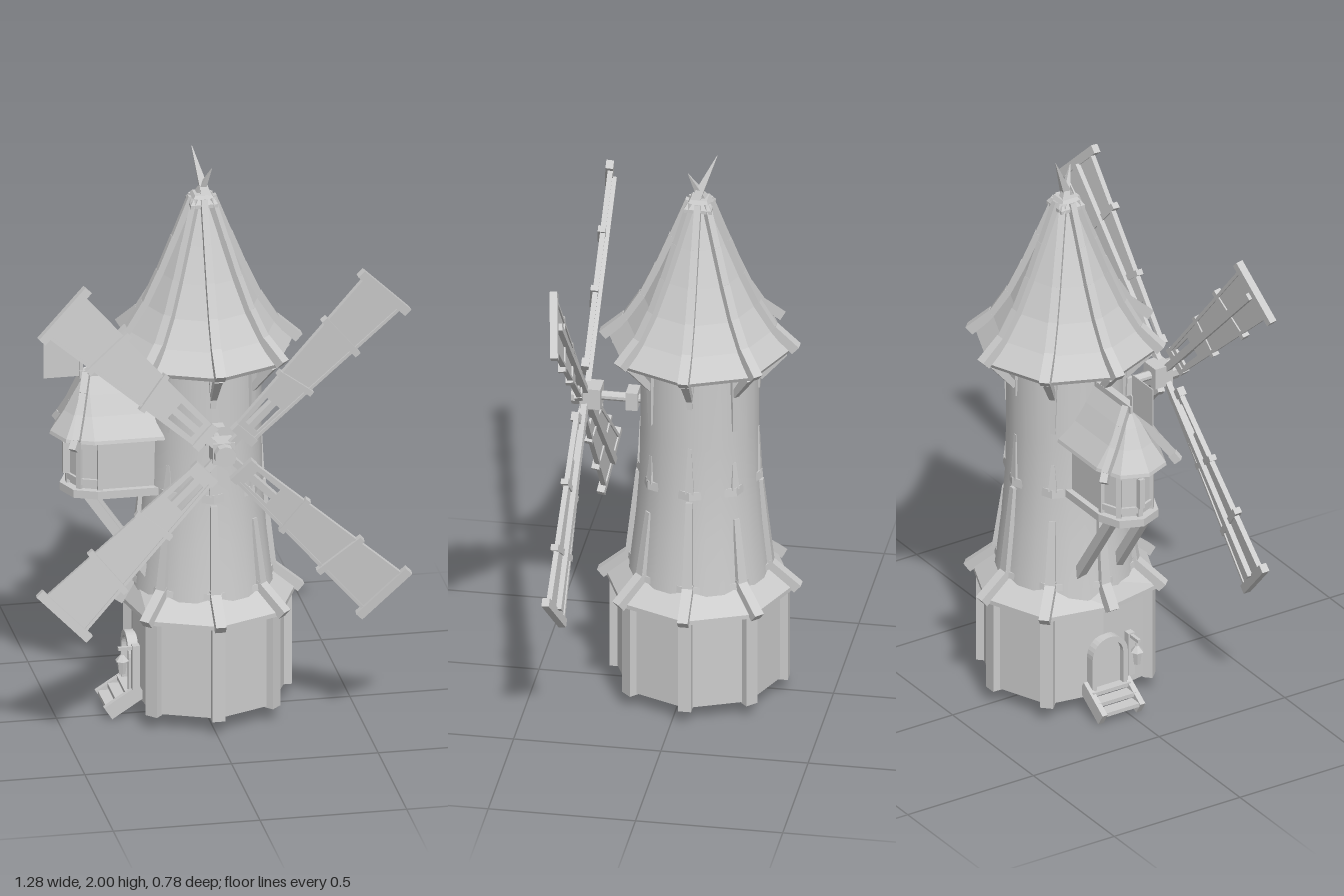
import * as THREE from 'three';

const flat = new THREE.MeshStandardMaterial({ color: 0xcccccc, flatShading: true, side: THREE.DoubleSide });
const smooth = new THREE.MeshStandardMaterial({ color: 0xcccccc, side: THREE.DoubleSide });
const V = (x, y, z) => new THREE.Vector3(x, y, z);
const polar = (a, r, y) => V(r * Math.sin(a), y, r * Math.cos(a));

function add(parent, name, geo, mat = flat) {
  const m = new THREE.Mesh(geo, mat);
  m.name = name;
  parent.add(m);
  return m;
}

function box(parent, name, w, h, d, x, y, z) {
  const m = add(parent, name, new THREE.BoxGeometry(w, h, d));
  m.position.set(x, y, z);
  return m;
}

// Timber from a to b; "out" is the direction its depth faces, taper narrows end b
function beam(parent, name, a, b, w, d, out = V(0, 0, 1), taper = 1) {
  const y = b.clone().sub(a), len = y.length();
  y.normalize();
  const x = y.clone().cross(out).normalize();
  const z = x.clone().cross(y);
  const geo = new THREE.BoxGeometry(w, len, d), p = geo.attributes.position;
  for (let i = 0; i < p.count; i++) {
    if (p.getY(i) > 0) { p.setX(i, p.getX(i) * taper); p.setZ(i, p.getZ(i) * taper); }
  }
  geo.applyMatrix4(new THREE.Matrix4().makeBasis(x, y, z));
  const m = add(parent, name, geo);
  m.position.copy(a).add(b).multiplyScalar(0.5);
  return m;
}

// Lathe from [radius, y] pairs; minX flattens the side with the door
function lathe(parent, name, pts, sides, mat = flat, minX = -1) {
  const geo = new THREE.LatheGeometry(pts.map(([r, y]) => new THREE.Vector2(r, y)), sides);
  const p = geo.attributes.position;
  for (let i = 0; i < p.count; i++) p.setX(i, Math.max(minX, p.getX(i)));
  return add(parent, name, geo, mat);
}

// Skin over closed rings of points with a cap on both ends
function loft(parent, name, rings) {
  const n = rings[0].length, idx = [];
  for (let r = 0; r < rings.length - 1; r++) {
    for (let i = 0; i < n; i++) {
      const a = r * n + i, b = r * n + (i + 1) % n;
      idx.push(a, b, b + n, a, b + n, a + n);
    }
  }
  const top = (rings.length - 1) * n;
  for (let i = 1; i < n - 1; i++) idx.push(0, i + 1, i, top, top + i, top + i + 1);
  const geo = new THREE.BufferGeometry().setFromPoints(rings.flat());
  geo.setIndex(idx);
  geo.computeVertexNormals();
  return add(parent, name, geo);
}

// Plan of the side room: straight sides with a faceted round end toward -x
function roomRing(w, y, xc) {
  const pts = [V(-0.1, y, w), V(-0.1, y, -w)];
  for (let i = 0; i <= 4; i++) {
    const a = i * Math.PI / 4;
    pts.push(V(xc - w * Math.sin(a), y, -w * Math.cos(a)));
  }
  return pts;
}

function buildTower(g) {
  lathe(g, 'baseWall', [[0, 0.06], [0.285, 0.06], [0.285, 0.4]], 8, flat, -0.235);
  lathe(g, 'skirtRoof', [[0.22, 0.39], [0.318, 0.39], [0.318, 0.405], [0.225, 0.485], [0.2, 0.49]], 8, flat, -0.27);
  lathe(g, 'towerWall', [[0.245, 0.4], [0.233, 0.5], [0.216, 0.65], [0.203, 0.82], [0.2, 1], [0.2, 1.31]], 24, smooth);
  lathe(g, 'middleBand', [[0.19, 0.808], [0.215, 0.808], [0.213, 0.838], [0.19, 0.838]], 8);
  lathe(g, 'skirtCollar', [[0.2, 0.47], [0.248, 0.47], [0.245, 0.492], [0.2, 0.492]], 8);

  // Main roof with a concave sweep
  const prof = [[0.308, 1.3], [0.25, 1.37], [0.192, 1.46], [0.14, 1.57], [0.09, 1.69], [0.033, 1.83]];
  lathe(g, 'mainRoof', [[0.19, 1.305], [0.3, 1.285], ...prof], 8);

  for (let i = 0; i < 8; i++) {
    const a = i * Math.PI / 4, out = polar(a, 1, 0), doorSide = i === 6;
    if (!doorSide) beam(g, 'basePost', polar(a, 0.285, 0.055), polar(a, 0.285, 0.4), 0.045, 0.035, out);
    const eave = doorSide ? 0.29 : 0.335;
    beam(g, 'skirtRafter', polar(a, 0.225, 0.492), polar(a, eave, 0.4), 0.036, 0.035, out);
    // Wall timbers, shorter and longer in turn
    beam(g, 'lowerTimber', polar(a, 0.24, 0.47), polar(a, 0.208, i % 2 ? 0.72 : 0.8), 0.036, 0.026, out, 0.6);
    beam(g, 'upperTimber', polar(a, 0.203, 1.3), polar(a, 0.2, i % 2 ? 1.05 : 1.15), 0.034, 0.02, out, 0.5);
    beam(g, 'bandTimber', polar(a, 0.202, 0.83), polar(a, 0.199, i % 2 ? 0.93 : 1), 0.03, 0.016, out, 0.4);
    beam(g, 'eaveBracket', polar(a, 0.285, 1.29), polar(a, 0.205, 1.19), 0.028, 0.03, out, 0.7);
    // Roof rafters follow the roof profile
    const path = [[0.328, 1.305], ...prof.slice(1)];
    for (let k = 0; k < path.length - 1; k++) {
      const w = 0.036 - k * 0.003;
      beam(g, 'roofRafter', polar(a, ...path[k]), polar(a, path[k + 1][0], path[k + 1][1] + 0.008), w, 0.034, out, 0.92);
    }
  }

  // Roof cap and the two split spikes
  const cap = lathe(g, 'roofCap', [[0, 1.812], [0.066, 1.812], [0.066, 1.824], [0.04, 1.852], [0, 1.852]], 4);
  cap.rotation.y = Math.PI / 4;
  beam(g, 'tallSpike', V(0.012, 1.84, 0.015), V(-0.024, 2, -0.055), 0.034, 0.034, V(0, 0, 1), 0.06);
  beam(g, 'shortSpike', V(-0.008, 1.84, -0.012), V(0.027, 1.95, 0.035), 0.03, 0.03, V(0, 0, 1), 0.06);
}

function buildSideRoom(g) {
  loft(g, 'roomFloor', [roomRing(0.11, 0.812, -0.37), roomRing(0.11, 0.84, -0.37)]);
  loft(g, 'roomWall', [roomRing(0.09, 0.84, -0.36), roomRing(0.09, 1.04, -0.36)]);
  const roof = [[0.13, 1.018], [0.127, 1.03], [0.08, 1.1], [0.045, 1.165], [0.01, 1.225]];
  loft(g, 'roomRoof', roof.map(([w, y]) => roomRing(w, y, -0.385)));
  beam(g, 'roomRidge', V(-0.415, 1.228, 0), V(-0.17, 1.228, 0), 0.026, 0.026, V(0, 1, 0));
  for (const s of [-1, 1]) {
    const at = ([w, y]) => V(-0.385 - 0.5 * w, y + 0.008, s * w * 1.04);
    for (let k = 1; k < 4; k++) beam(g, 'roomRafter', at(roof[k]), at(roof[k + 1]), 0.024, 0.026, V(0, 1, 0));
    beam(g, 'rafterFoot', V(-0.462, 1.012, s * 0.148), at(roof[1]), 0.026, 0.028, V(0, 1, 0));
    beam(g, 'roomBrace', V(-0.4, 0.82, s * 0.075), V(-0.18, 0.5, s * 0.075), 0.032, 0.032);
  }
  // Window frames and corner posts round the end
  for (let i = 0; i <= 4; i++) {
    const a = Math.PI + i * Math.PI / 4, p = polar(a, 0.09, 0).add(V(-0.36, 0, 0));
    beam(g, 'roomPost', p.clone().setY(0.84), p.clone().setY(1.03), 0.018, 0.018, polar(a, 1, 0));
    if (i === 4) continue;
    const q = polar(a + Math.PI / 4, 0.09, 0).add(V(-0.36, 0, 0));
    for (const y of [0.865, 0.995]) beam(g, 'windowRail', p.clone().setY(y), q.clone().setY(y), 0.018, 0.022, V(0, 1, 0));
  }
  box(g, 'windowFrame', 0.02, 0.11, 0.02, -0.46, 0.93, 0);
  box(g, 'flag', 0.125, 0.14, 0.004, -0.472, 1.29, 0);
  box(g, 'flagPole', 0.012, 0.06, 0.012, -0.408, 1.25, 0);
}

function arch(w, h) {
  const s = new THREE.Shape();
  s.moveTo(-w, 0).lineTo(w, 0).lineTo(w, h);
  s.absarc(0, h, w, 0, Math.PI, false);
  s.lineTo(-w, 0);
  return s;
}

function buildEntrance(g) {
  const frame = arch(0.07, 0.14);
  frame.holes.push(arch(0.052, 0.14));
  for (const [name, shape, depth] of [['doorFrame', frame, 0.035], ['door', arch(0.055, 0.14), 0.015]]) {
    const m = add(g, name, new THREE.ExtrudeGeometry(shape, { depth, bevelEnabled: false, curveSegments: 8 }));
    m.rotation.y = -Math.PI / 2;
    m.position.set(-0.225, 0.075, 0);
  }
  // Steps between two stringers
  for (const s of [-1, 1]) beam(g, 'stairStringer', V(-0.215, 0.1, s * 0.075), V(-0.332, 0.025, s * 0.075), 0.05, 0.02);
  for (let i = 0; i < 3; i++) box(g, 'step', 0.045, 0.014, 0.15, -0.25 - i * 0.033, 0.09 - i * 0.024, 0);
  // Lantern on a bracket beside the door
  box(g, 'lanternPost', 0.025, 0.16, 0.025, -0.24, 0.19, 0.09);
  box(g, 'lanternArm', 0.07, 0.012, 0.012, -0.265, 0.26, 0.09);
  lathe(g, 'lantern', [[0, 0.17], [0.012, 0.17], [0.018, 0.215], [0.024, 0.217], [0.006, 0.238], [0.003, 0.26]], 6)
    .position.set(-0.286, 0, 0.09);
}

function buildSails(g) {
  box(g, 'axleBlock', 0.065, 0.065, 0.04, 0, 0, -0.17);
  for (const [name, r, len, z] of [['axle', 0.016, 0.2, -0.1], ['hubCap', 0.037, 0.1, -0.015]]) {
    const m = add(g, name, new THREE.CylinderGeometry(r, r, len, 10));
    m.rotation.x = Math.PI / 2;
    m.position.z = z;
  }
  box(g, 'hub', 0.075, 0.075, 0.07, 0, 0, -0.03);
  // Tapered sail board with two slots near the hub
  const board = new THREE.Shape();
  board.moveTo(-0.04, 0.1).lineTo(0.04, 0.1).lineTo(0.09, 0.77).lineTo(-0.09, 0.77);
  for (const s of [-1, 1]) {
    const slot = new THREE.Path();
    slot.moveTo(s * 0.012, 0.13).lineTo(s * 0.03, 0.13).lineTo(s * 0.034, 0.24).lineTo(s * 0.012, 0.24);
    board.holes.push(slot);
  }
  for (let i = 0; i < 4; i++) {
    const blade = new THREE.Group(), pitch = new THREE.Group();
    blade.name = 'sailArm';
    blade.rotation.z = Math.PI / 4 + i * Math.PI / 2;
    pitch.name = 'pitchedSail';
    pitch.rotation.y = 0.13;
    blade.add(pitch);
    g.add(blade);
    add(pitch, 'sailBoard', new THREE.ExtrudeGeometry(board, { depth: 0.008, bevelEnabled: false })).position.z = -0.004;
    beam(pitch, 'sailSpar', V(0, 0.03, -0.012), V(0, 0.76, -0.012), 0.024, 0.02);
    for (const s of [-1, 1]) beam(pitch, 'sailEdge', V(s * 0.04, 0.09, 0), V(s * 0.088, 0.77, 0), 0.011, 0.018);
    for (const [r, half, h] of [[0.095, 0.05, 0.03], [0.34, 0.074, 0.02], [0.56, 0.095, 0.022], [0.77, 0.117, 0.03]]) {
      box(pitch, 'sailCrossbar', half * 2, h, 0.026, 0, r, 0.004).rotation.z = r === 0.34 ? 0.12 : r === 0.56 ? -0.1 : 0;
    }
  }
}

export function createModel() {
  const model = new THREE.Group();
  model.name = 'windmill';
  const part = (name, build, x, y, z) => {
    const g = new THREE.Group();
    g.name = name;
    g.position.set(x, y, z);
    build(g);
    model.add(g);
  };
  part('tower', buildTower, 0.005, 0, -0.047);
  part('sideRoom', buildSideRoom, 0, 0, -0.047);
  part('entrance', buildEntrance, 0, 0, -0.04);
  part('sails', buildSails, 0.003, 1.067, 0.35);
  return model;
}
